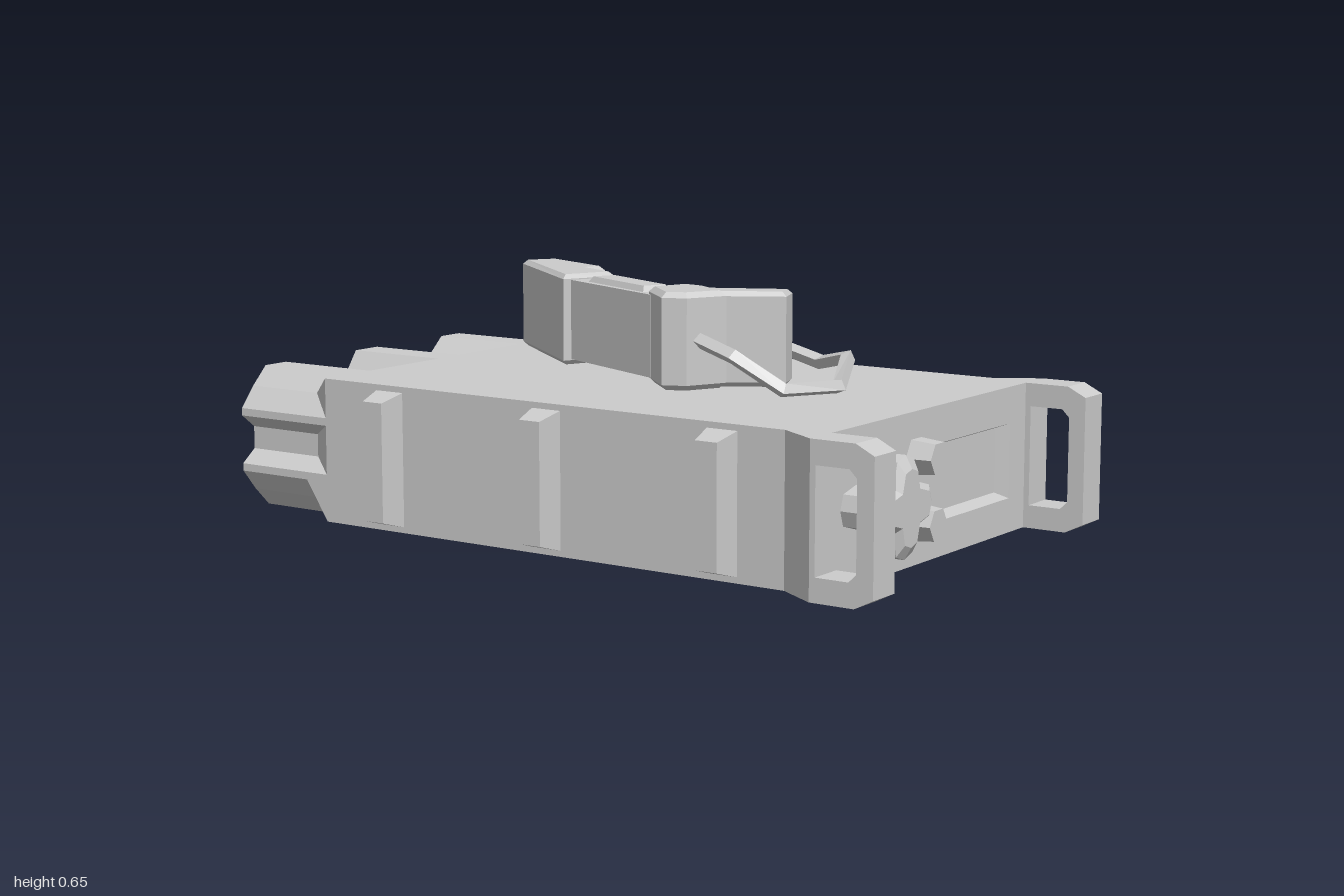
import * as THREE from 'three';

const material = new THREE.MeshStandardMaterial({ color: 0xcccccc, flatShading: true, side: THREE.DoubleSide });

function add(parent, name, geometry, x = 0, y = 0, z = 0) {
  const mesh = new THREE.Mesh(geometry, material);
  mesh.name = name;
  mesh.position.set(x, y, z);
  parent.add(mesh);
  return mesh;
}

// Flat-sided loft through rings of {pts: [[x, y], ...] counter-clockwise, z}
function loft(rings, capFirst, capLast) {
  const pos = [];
  const at = (r, j) => new THREE.Vector3(...r.pts[j % r.pts.length], r.z);
  const tri = (a, b, c) => {
    const area = b.clone().sub(a).cross(c.clone().sub(a)).length();
    if (area > 1e-7) pos.push(...a.toArray(), ...b.toArray(), ...c.toArray());
  };
  for (let i = 0; i < rings.length - 1; i++) {
    for (let j = 0; j < rings[i].pts.length; j++) {
      const a = at(rings[i], j), b = at(rings[i], j + 1);
      const c = at(rings[i + 1], j + 1), d = at(rings[i + 1], j);
      tri(a, b, c);
      tri(a, c, d);
    }
  }
  const cap = (r, flip) => {
    const faces = THREE.ShapeUtils.triangulateShape(r.pts.map(p => new THREE.Vector2(...p)), []);
    for (const [a, b, c] of faces) flip ? tri(at(r, a), at(r, c), at(r, b)) : tri(at(r, a), at(r, b), at(r, c));
  };
  if (capFirst) cap(rings[0], true);
  if (capLast) cap(rings[rings.length - 1], false);
  const g = new THREE.BufferGeometry();
  g.setAttribute('position', new THREE.Float32BufferAttribute(pos, 3));
  g.computeVertexNormals();
  return g;
}

const rect = (w, h) => [[-w / 2, -h / 2], [w / 2, -h / 2], [w / 2, h / 2], [-w / 2, h / 2]];
const shapeOf = pts => new THREE.Shape(pts.map(p => new THREE.Vector2(...p)));

// Plan outline [x, z] raised from y0 to y1, with optional chamfered rims
function slab(plan, y0, y1, bevel = 0) {
  const g = new THREE.ExtrudeGeometry(shapeOf(plan.map(([x, z]) => [x, -z])), {
    depth: y1 - y0 - 2 * bevel, bevelEnabled: bevel > 0, bevelSize: bevel,
    bevelThickness: bevel, bevelOffset: -bevel, bevelSegments: 1,
  });
  g.rotateX(-Math.PI / 2);
  g.translate(0, y0 + bevel, 0);
  return g;
}

// Mirror a quarter outline into a full ring
function fourWay(q) {
  const r = [...q].reverse();
  return [...q, ...r.map(([x, y]) => [-x, y]), ...q.map(([x, y]) => [-x, -y]), ...r.map(([x, y]) => [x, -y])];
}

// Straight-sided path sampled exactly at its corners
class Polyline extends THREE.Curve {
  constructor(points) { super(); this.points = points; }
  getPoint(t) {
    const n = this.points.length - 1, s = Math.min(Math.max(t, 0), 1) * n;
    const i = Math.min(Math.floor(s), n - 1);
    return this.points[i].clone().lerp(this.points[i + 1], s - i);
  }
  getPointAt(t) { return this.getPoint(t); }
  getTangentAt(t) { return this.getTangent(t); }
}

function buildChassis() {
  const g = new THREE.Group();
  g.name = 'chassis';
  g.position.x = -0.03;

  // Main case with flared front cheeks
  const half = [[0.505, -0.7], [0.505, 0.72], [0.573, 0.83], [0.478, 0.83], [0.478, 0.79]];
  add(g, 'case', slab([...half, ...[...half].reverse().map(([x, z]) => [-x, z])], 0.02, 0.4));

  // Rear section with pockets on every side
  const cut = fourWay([[0.46, 0.03], [0.505, 0.065], [0.505, 0.085], [0.46, 0.14], [0.41, 0.19],
    [0.33, 0.19], [0.275, 0.14], [0.08, 0.14], [0.045, 0.19]]);
  const full = fourWay([[0.505, 0.065], [0.505, 0.065], [0.505, 0.085], [0.505, 0.19], [0.41, 0.19],
    [0.33, 0.19], [0.33, 0.19], [0.045, 0.19], [0.045, 0.19]]);
  add(g, 'rearSection', loft([{ pts: cut, z: -1 }, { pts: cut, z: -0.77 }, { pts: full, z: -0.7 }], true, false), 0, 0.21, 0);

  // Front panel with its recessed window
  const panel = shapeOf([[-0.478, 0.02], [0.478, 0.02], [0.478, 0.4], [-0.478, 0.4]]);
  panel.holes.push(new THREE.Path(rect(0.375, 0.195).map(([x, y]) => new THREE.Vector2(x + 0.2075, y + 0.2075))));
  add(g, 'frontPanel', new THREE.ExtrudeGeometry(panel, { depth: 0.04, bevelEnabled: false }), 0, 0, 0.79);
  add(g, 'recess', loft([{ pts: rect(0.375, 0.195), z: 0.04 }, { pts: rect(0.345, 0.168), z: 0.005 }], false, true),
    0.2075, 0.2075, 0.79);

  for (const s of [-1, 1]) {
    // Front guard handle with a chamfered opening, drawn in z and y
    const guard = shapeOf([[0.83, 0.02], [0.95, 0.02], [1, 0.045], [1, 0.375], [0.95, 0.4], [0.83, 0.4]]);
    guard.holes.push(new THREE.Path([[0.845, 0.08], [0.935, 0.08], [0.955, 0.1], [0.955, 0.32], [0.935, 0.34], [0.845, 0.34]]
      .map(p => new THREE.Vector2(...p))));
    const geo = new THREE.ExtrudeGeometry(guard, { depth: 0.095, bevelEnabled: false });
    geo.rotateY(-Math.PI / 2);
    add(g, 'guardHandle', geo, s > 0 ? 0.573 : -0.478, 0, 0);

    // Side ribs
    for (const z of [0.545, 0.025, -0.48]) {
      const rib = loft([{ pts: rect(0.09, 0.355), z: -0.01 }, { pts: rect(0.062, 0.31), z: 0.068 }], true, true);
      rib.rotateY(s * Math.PI / 2);
      add(g, 'sideRib', rib, s * 0.505, 0.21, z);
    }
  }
  return g;
}

function buildKnobs() {
  const g = new THREE.Group();
  g.name = 'knobs';
  // Four-lobed main knob
  const pts = [];
  for (let k = 0; k < 4; k++) {
    const c = Math.cos(k * Math.PI / 2), s = Math.sin(k * Math.PI / 2);
    for (const [x, y] of [[0.112, -0.038], [0.125, 0], [0.112, 0.038], [0.052, 0.055]]) {
      pts.push([x * c - y * s, x * s + y * c]);
    }
  }
  const small = pts.map(([x, y]) => [x * 0.75, y * 0.75]);
  add(g, 'mainKnob', loft([{ pts, z: 0 }, { pts, z: 0.1 }, { pts: small, z: 0.118 }], true, true), -0.343, 0.21, 0.83);

  // Hexagonal sockets
  for (const y of [0.29, 0.127]) {
    const hex = new THREE.CylinderGeometry(0.043, 0.05, 0.07, 6);
    hex.rotateY(Math.PI / 6);
    hex.rotateX(Math.PI / 2);
    add(g, 'hexKnob', hex, -0.118, y, 0.86);
  }
  return g;
}

function buildHandset() {
  const g = new THREE.Group();
  g.name = 'handset';
  add(g, 'earpiece', slab([[0.28, -0.68], [0.365, -0.625], [0.27, -0.385], [0.22, -0.4], [0.165, -0.275], [0.02, -0.34]],
    0.4, 0.645, 0.012));
  add(g, 'grip', slab([[0.05, -0.35], [0.18, -0.3], [0, 0.09], [-0.12, 0.045]], 0.415, 0.63));
  add(g, 'mouthpiece', slab([[-0.105, 0.03], [0.005, 0.07], [-0.005, 0.14], [-0.075, 0.25], [-0.18, 0.2], [-0.205, 0.14]],
    0.4, 0.65, 0.014));
  add(g, 'mouthpieceProng', slab([[-0.06, 0.12], [-0.005, 0.14], [0.095, 0.34], [0.018, 0.37], [-0.07, 0.22]],
    0.4, 0.645, 0.012));

  // Raised talk bar along the grip
  const bar = loft([{ pts: rect(0.085, 0.29), z: 0 }, { pts: rect(0.065, 0.265), z: 0.018 }], true, true);
  bar.rotateX(-Math.PI / 2);
  add(g, 'talkBar', bar, 0.012, 0.627, -0.117).rotation.y = -0.42;
  return g;
}

export function createModel() {
  const model = new THREE.Group();
  model.name = 'fieldRadio';
  model.add(buildChassis(), buildKnobs(), buildHandset());

  // Cord looping over the top and down the left side
  const path = [[-0.14, 0.53, 0.2], [-0.18, 0.5, 0.34], [-0.135, 0.42, 0.46], [0, 0.42, 0.54], [0.19, 0.465, 0.45],
    [0.35, 0.42, 0.27], [0.425, 0.465, 0], [0.565, 0.385, -0.12], [0.57, 0.2, -0.12], [0.578, 0.1, 0],
    [0.535, 0.1, 0.28], [0.52, 0.02, 0.52], [0.5, 0.04, 0.76]].map(p => new THREE.Vector3(...p));
  add(model, 'cord', new THREE.TubeGeometry(new Polyline(path), path.length - 1, 0.02, 4, false));
  return model;
}
